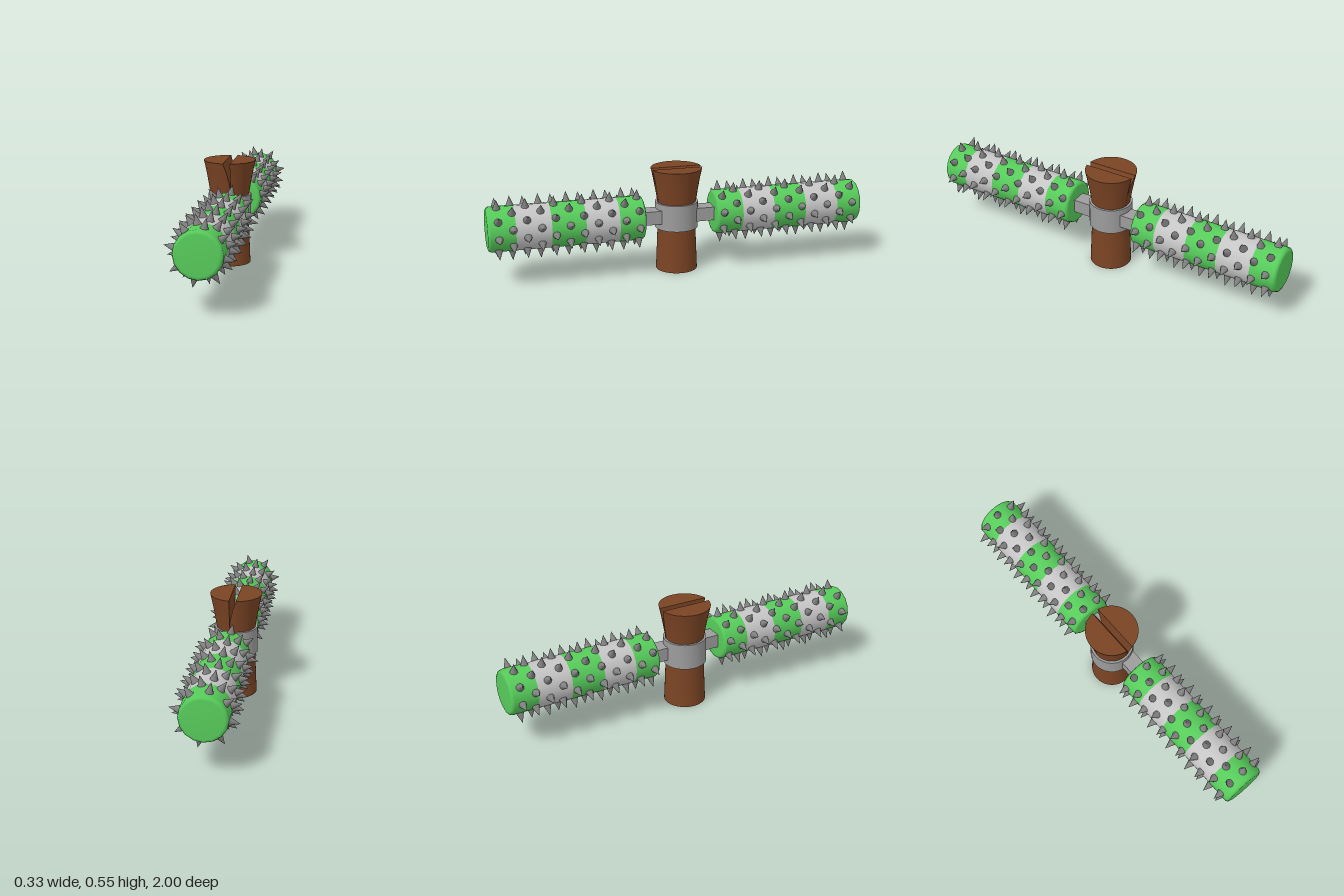
import * as THREE from 'three';
import { toCreasedNormals } from 'three/addons/utils/BufferGeometryUtils.js';

const mat = (name, color) => {
  const m = new THREE.MeshStandardMaterial({ color });
  m.name = name;
  return m;
};

export function createModel() {
  const wood = mat('brown wood', 0x7b4424);
  const green = mat('green', 0x57cc5b);
  const pale = mat('light grey', 0xc6c6c6);
  const steel = mat('band grey', 0x9c9c9c);
  const spikeGrey = mat('spike grey', 0x808080);

  const model = new THREE.Group();
  model.name = 'spikedBarPost';

  const add = (parent, name, geometry, material) => {
    const mesh = new THREE.Mesh(geometry, material);
    mesh.name = name;
    parent.add(mesh);
    return mesh;
  };
  const lathe = (pts, sides) =>
    new THREE.LatheGeometry(pts.map(([r, y]) => new THREE.Vector2(r, y)), sides);

  // Post, slightly off the bar's axis
  const post = new THREE.Group();
  post.name = 'post';
  post.position.x = -0.02;
  model.add(post);

  const trunk = lathe([[0, 0], [0.11, 0], [0.105, 0.12], [0.1, 0.25], [0.1, 0.37]], 40);
  add(post, 'trunk', toCreasedNormals(trunk, 0.7), wood);

  // Flared top, split in two by a V-shaped crack: each half is clamped at the crack wall
  const rows = [[0.1, 0.36], [0.111, 0.43], [0.124, 0.5], [0.135, 0.55], [0, 0.55]];
  const crackLeft = (y) => (y > 0.54 ? -0.035 : y > 0.49 ? -0.018 : y > 0.42 ? -0.002 : 0);
  for (const side of [-1, 1]) {
    const half = lathe(rows, 48);
    const p = half.attributes.position;
    for (let i = 0; i < p.count; i++) {
      const x = p.getX(i);
      const limit = (side < 0 ? crackLeft(p.getY(i)) : 0.001) + 0.02;
      p.setX(i, side < 0 ? Math.min(x, limit) : Math.max(x, limit));
    }
    add(post, side < 0 ? 'rightTopHalf' : 'leftTopHalf', toCreasedNormals(half, 0.7), wood);
  }

  // Metal band round the post
  const band = lathe([[0.095, 0.23], [0.113, 0.23], [0.113, 0.37], [0.095, 0.37]], 40);
  add(post, 'band', toCreasedNormals(band, 0.7), steel);

  // Striped bar running along +z, as consecutive slices of one profile
  const R = 0.117;
  const slices = [
    [green, [[0, 0.19], [0.098, 0.19], [0.111, 0.195], [R, 0.206], [R, 0.33]]],
    [pale, [[R, 0.33], [R, 0.505]]],
    [green, [[R, 0.505], [R, 0.68]]],
    [pale, [[R, 0.68], [R, 0.86]]],
    [green, [[R, 0.86], [R, 0.984], [0.111, 0.995], [0.098, 1], [0, 1]]],
  ];
  const spike = new THREE.ConeGeometry(0.026, 0.066, 10).translate(0, 0.133, 0);

  const makeBar = (name) => {
    const bar = new THREE.Group();
    bar.name = name;
    bar.position.y = 0.3;
    slices.forEach(([material, pts], i) =>
      add(bar, `stripe${i + 1}`, lathe(pts, 16).rotateX(Math.PI / 2), material));

    // Staggered rows of eight spikes
    for (let row = 0; row < 11; row++) {
      const offset = row % 2 ? 1 : -1;
      for (let k = 0; k < 8; k++) {
        const s = add(bar, 'spike', spike, spikeGrey);
        s.rotation.z = (offset * Math.PI) / 16 + (k * Math.PI) / 4;
        s.position.z = 0.226 + row * 0.072;
      }
    }

    // Bracket joining the bar to the band
    add(bar, 'bracket', new THREE.BoxGeometry(0.085, 0.072, 0.115), steel)
      .position.set(0, 0, 0.145);
    return bar;
  };

  const front = makeBar('frontBar');
  const back = makeBar('backBar');
  back.rotation.y = Math.PI;
  model.add(front, back);

  return model;
}
